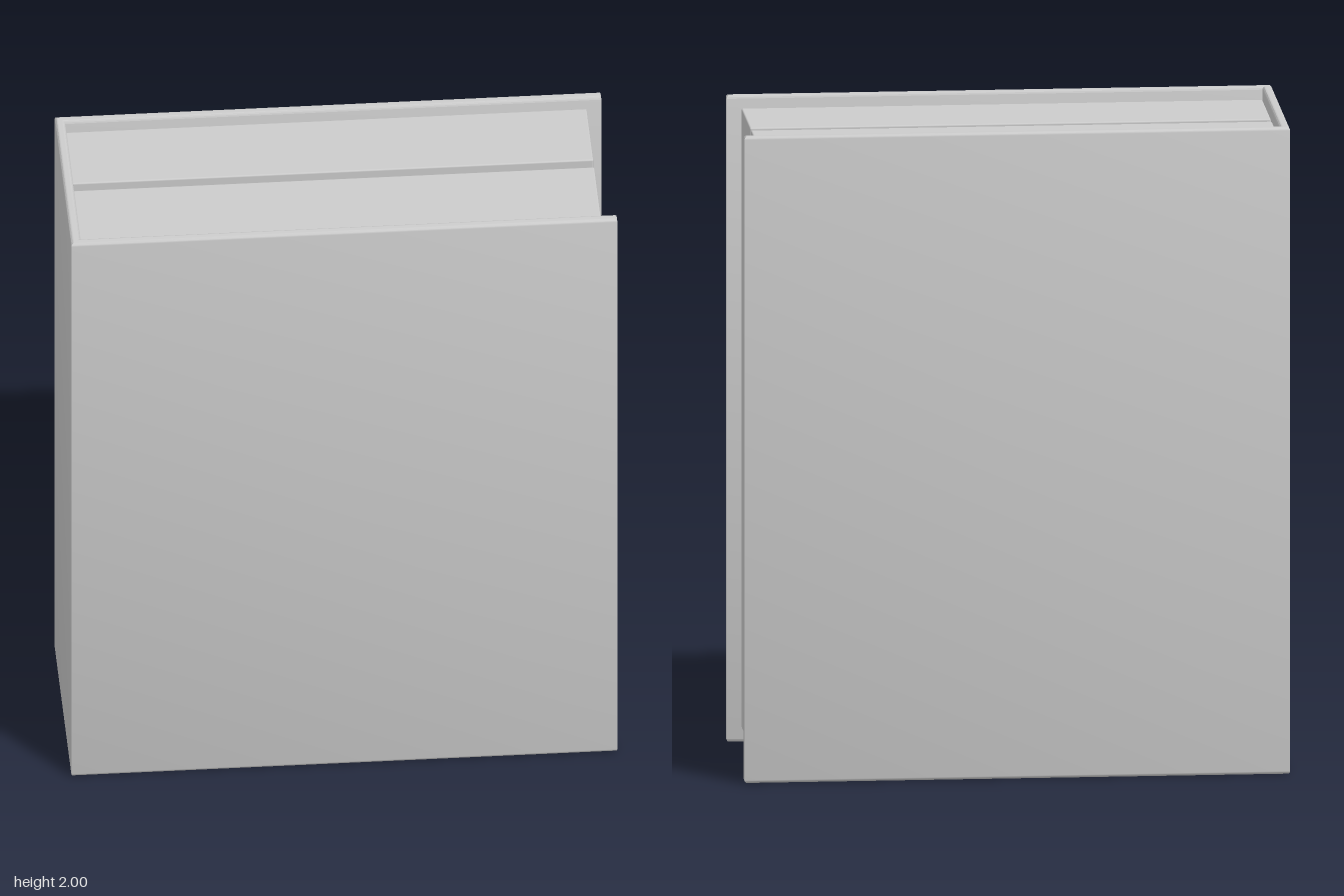
import * as THREE from 'three';
import { RoundedBoxGeometry } from 'three/addons/geometries/RoundedBoxGeometry.js';
import { toCreasedNormals } from 'three/addons/utils/BufferGeometryUtils.js';

const W = 0.83, D = 0.33, H = 2, T = 0.03, BEVEL = 0.01;

export function createModel() {
  const group = new THREE.Group();
  const material = new THREE.MeshStandardMaterial({ color: 0xcccccc });

  // Case: U-shaped section (spine plus two boards) extruded upwards
  const section = new THREE.Shape([
    [-W, -D], [W, -D], [W, -D + T], [-W + T, -D + T],
    [-W + T, D - T], [W, D - T], [W, D], [-W, D],
  ].map(([x, y]) => new THREE.Vector2(x, y)));
  const caseGeometry = new THREE.ExtrudeGeometry(section, {
    depth: H - 2 * BEVEL,
    bevelThickness: BEVEL, bevelSize: BEVEL, bevelOffset: -BEVEL, bevelSegments: 3,
  });
  caseGeometry.rotateX(-Math.PI / 2).translate(0, BEVEL, 0);
  const cover = new THREE.Mesh(toCreasedNormals(caseGeometry, 0.7), material);
  cover.name = 'cover';
  group.add(cover);

  // Two page blocks with a narrow gap between them
  const x0 = -W + T, x1 = 0.785, y0 = 0.045, y1 = 1.96;
  for (const [name, z0, z1] of [
    ['frontPageBlock', 0, D - T],
    ['backPageBlock', -D + T, -0.035],
  ]) {
    const block = new THREE.Mesh(
      new RoundedBoxGeometry(x1 - x0, y1 - y0, z1 - z0, 2, 0.005), material);
    block.position.set((x0 + x1) / 2, (y0 + y1) / 2, (z0 + z1) / 2);
    block.name = name;
    group.add(block);
  }
  return group;
}
